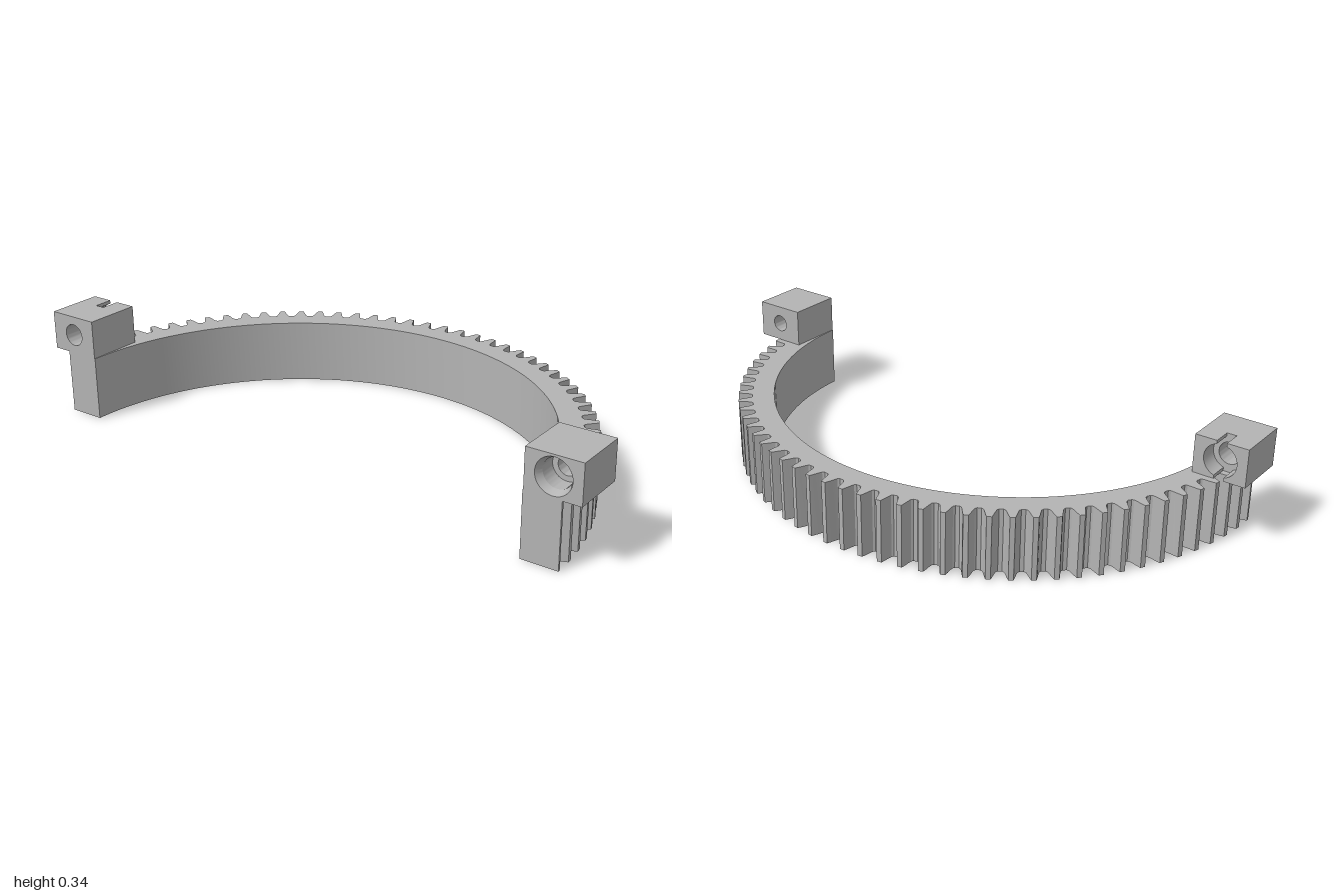
import * as THREE from 'three';
import { toCreasedNormals } from 'three/addons/utils/BufferGeometryUtils.js';

const FRONT = 0.47;               // z of the cut ends, also the arc centre
const RING_H = 0.215;             // height of the toothed arch
const LUG = { x: 0.91, y: 0.28, w: 0.18, h: 0.13, back: 0.28 };

export function createModel() {
  const group = new THREE.Group();
  const grey = new THREE.MeshStandardMaterial({ color: 0xb4b4b4, side: THREE.DoubleSide });
  grey.name = 'grey';

  const add = (name, geometry, parent = group) => {
    const mesh = new THREE.Mesh(toCreasedNormals(geometry, 0.3), grey);
    mesh.name = name;
    parent.add(mesh);
    return mesh;
  };
  const extrude = (shape, depth) =>
    new THREE.ExtrudeGeometry(shape, { depth, bevelEnabled: false, curveSegments: 32 });

  // Half ring with 43 tooth pitches; a half tooth sits on each cut end
  const teeth = 43, pitch = Math.PI / teeth;
  const flank = [[0.94, 0.008], [0.925, 0.0125], [0.908, 0.0165], [0.897, 0.020], [0.892, 0.026]];
  const outline = [[0.94, 0]];
  for (let i = 0; i <= teeth; i++) {
    const a = i * pitch;
    if (i > 0) for (const [r, half] of [...flank].reverse()) outline.push([r, a - half / r]);
    if (i < teeth) for (const [r, half] of flank) outline.push([r, a + half / r]);
  }
  outline.push([0.94, Math.PI]);
  for (let i = 96; i >= 0; i--) outline.push([0.818, (i / 96) * Math.PI]);
  const ring = new THREE.Shape(
    outline.map(([r, a]) => new THREE.Vector2(r * Math.cos(a), r * Math.sin(a))));
  add('toothedArch', extrude(ring, RING_H).rotateX(-Math.PI / 2).translate(0, 0, FRONT));

  // Lug slice: a block with a round hole, between two z positions
  const w = LUG.w / 2, h = LUG.h / 2;
  const slice = (radius, z0, z1) => {
    const s = new THREE.Shape();
    s.moveTo(-w, -h).lineTo(w, -h).lineTo(w, h).lineTo(-w, h).closePath();
    s.holes.push(new THREE.Path().absarc(0, 0, radius, 0, Math.PI * 2, true));
    return extrude(s, z1 - z0).translate(0, 0, z0);
  };
  const makeLug = (name, side) => {
    const lug = new THREE.Group();
    lug.name = name;
    lug.position.set(side * LUG.x, LUG.y, 0);
    group.add(lug);
    return lug;
  };

  // Left lug: countersunk stepped bore opening to the front
  const left = makeLug('leftLug', 1);
  add('lugBack', slice(0.03, LUG.back, 0.39), left);
  add('lugBore', slice(0.047, 0.39, 0.445), left);
  add('lugMouth', slice(0.058, 0.445, FRONT), left);
  const cone = new THREE.LatheGeometry(
    [new THREE.Vector2(0.047, 0.445), new THREE.Vector2(0.058, FRONT)], 32);
  add('countersink', cone.rotateX(Math.PI / 2), left);

  // Right lug: plain hole, with a rear recess crossed by an upright slot
  const right = makeLug('rightLug', -1);
  const slotEnd = 0.345, slotHalf = 0.0165, recess = 0.056;
  add('lugFront', slice(0.037, slotEnd, FRONT), right);
  const a = Math.acos(slotHalf / recess);
  for (const side of [-1, 1]) {
    const cheek = new THREE.Shape();
    cheek.moveTo(side * slotHalf, -h).lineTo(side * w, -h);
    cheek.lineTo(side * w, h).lineTo(side * slotHalf, h);
    for (let i = 0; i <= 16; i++) {
      const t = a - (2 * a * i) / 16;
      cheek.lineTo(side * recess * Math.cos(t), recess * Math.sin(t));
    }
    cheek.closePath();
    add('slotCheek', extrude(cheek, slotEnd - LUG.back).translate(0, 0, LUG.back), right);
  }
  return group;
}
